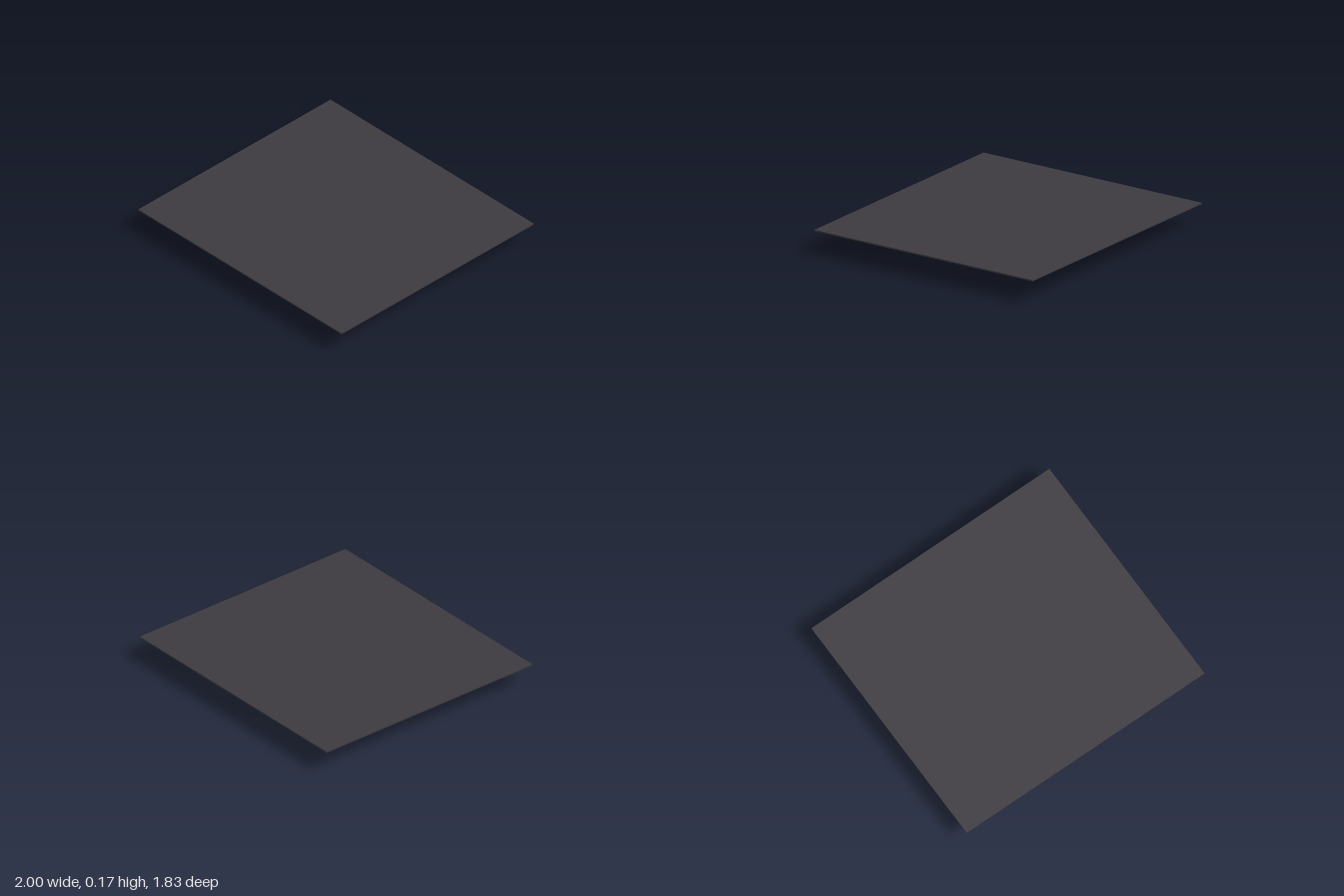
import * as THREE from 'three';

const mat = (name, color, side = THREE.FrontSide) => {
  const m = new THREE.MeshStandardMaterial({ color, side });
  m.name = name;
  return m;
};

export function createModel() {
  const root = new THREE.Group();
  const slab = mat('ceilingGrey', 0x3d3b40);
  const metal = mat('ductMetal', 0x63666d);
  const dark = mat('darkSteel', 0x2b2b2e);
  const trayMetal = mat('trayMetal', 0x4b4c52);
  const flat = 0.7; // height to width ratio of the oval ducts

  const group = (name) => {
    const g = new THREE.Group();
    g.name = name;
    root.add(g);
    return g;
  };
  const add = (parent, name, geo, material) => {
    const m = new THREE.Mesh(geo, material);
    m.name = name;
    parent.add(m);
    return m;
  };
  // box given by its limits
  const box = (parent, name, x0, x1, y0, y1, z0, z1, material) => {
    const m = add(parent, name, new THREE.BoxGeometry(x1 - x0, y1 - y0, z1 - z0), material);
    m.position.set((x0 + x1) / 2, (y0 + y1) / 2, (z0 + z1) / 2);
    return m;
  };
  // straight duct or collar along x or z, squashed to an oval
  const pipe = (parent, name, axis, center, length, r, k = flat, material = metal) => {
    const g = new THREE.CylinderGeometry(r, r, length, 24);
    if (axis === 'x') g.rotateZ(Math.PI / 2);
    if (axis === 'z') g.rotateX(Math.PI / 2);
    g.scale(1, k, 1);
    add(parent, name, g, material).position.set(...center);
  };
  // bent duct through points, squashed to an oval
  const bend = (parent, name, pts, r, k = flat) => {
    const path = new THREE.CatmullRomCurve3(pts.map(([x, y, z]) => new THREE.Vector3(x, y / k, z)));
    const g = new THREE.TubeGeometry(path, 24, r, 20);
    g.scale(1, k, 1);
    add(parent, name, g, metal);
  };

  // ceiling slab, beam and thin rail
  box(root, 'ceiling', -1, 1, 0.155, 0.165, -0.915, 0.915, slab);
  box(root, 'beam', -0.665, 0.66, 0.108, 0.155, 0.317, 0.347, slab);
  box(root, 'ceilingRail', -0.838, 0.65, 0.147, 0.155, 0.546, 0.553, dark);

  // cable tray with low side walls
  const tray = group('cableTray');
  box(tray, 'trayFloor', -0.6, 0.745, 0.119, 0.123, 0.17, 0.232, trayMetal);
  for (const z of [0.17, 0.23]) box(tray, 'trayWall', -0.6, 0.745, 0.123, 0.136, z, z + 0.002, trayMetal);

  // cross duct with collars and a small outlet below
  const cross = group('crossDuct');
  pipe(cross, 'crossPipe', 'x', [-0.28, 0.11, 0.46], 0.6, 0.025);
  for (const x of [-0.58, -0.435, -0.285, -0.137, 0.018]) pipe(cross, 'crossCollar', 'x', [x, 0.11, 0.46], 0.006, 0.0275);
  add(cross, 'outletCone', new THREE.CylinderGeometry(0.008, 0.018, 0.012, 20), dark).position.set(-0.21, 0.089, 0.46);

  // elbow and drop to the trunk
  const elbow = group('elbowDuct');
  bend(elbow, 'elbow', [[0.015, 0.11, 0.46], [0.04, 0.11, 0.456], [0.059, 0.11, 0.437], [0.065, 0.11, 0.41]], 0.025);
  bend(elbow, 'dropBend', [[0.065, 0.11, 0.415], [0.065, 0.107, 0.395], [0.065, 0.09, 0.36], [0.065, 0.087, 0.33]], 0.025);
  pipe(elbow, 'elbowCollar', 'z', [0.065, 0.11, 0.412], 0.006, 0.028);

  // long trunk with collars and spiral ribs
  const trunk = group('trunkDuct');
  pipe(trunk, 'trunkPipe', 'z', [0.065, 0.087, -0.155], 0.98, 0.025);
  for (const z of [0.335, 0.3, 0.255, 0.07, -0.06, -0.642]) pipe(trunk, 'trunkCollar', 'z', [0.065, 0.087, z], 0.007, 0.028);
  for (let z = -0.08; z > -0.635; z -= 0.02) pipe(trunk, 'trunkRib', 'z', [0.065, 0.087, z], 0.006, 0.0262);

  // side branch ending in a tee
  const branch = group('branchDuct');
  pipe(branch, 'branchPipe', 'x', [0.19, 0.087, 0], 0.22, 0.013, 1);
  for (const x of [0.098, 0.13, 0.195, 0.23]) pipe(branch, 'branchCollar', 'x', [x, 0.087, 0], 0.006, 0.0155, 1);
  pipe(branch, 'tee', 'z', [0.3, 0.087, 0], 0.09, 0.015, 1);

  // flexible legs with flared diffusers
  for (const s of [1, -1]) {
    const leg = group('flexibleLeg');
    const lift = s > 0 ? 0.007 : 0;
    const bow = s * 0.022;
    bend(leg, 'hose', [
      [0.3, 0.087, s * 0.04], [0.3 + bow * 0.5, 0.083, s * 0.055], [0.3 + bow, 0.055, s * 0.066],
      [0.3 + bow * 0.5, 0.032, s * 0.074], [0.3, 0.014 + lift, s * 0.079],
    ], 0.011, 1);
    pipe(leg, 'hoseCollar', 'z', [0.3, 0.087, s * 0.042], 0.006, 0.017, 1);
    const profile = [[0, 0.018], [0.012, 0.018], [0.013, 0.011], [0.023, 0.006], [0.023, 0.003], [0.01, 0.003], [0.008, 0], [0, 0]];
    const flare = new THREE.LatheGeometry(profile.map(([r, y]) => new THREE.Vector2(r, y)).reverse(), 24);
    add(leg, 'diffuser', flare, dark).position.set(0.3, lift, s * 0.079);
  }

  // hanger rods
  const rods = group('hangerRods');
  const rod = (x, z, y) => {
    const h = 0.155 - y;
    add(rods, 'rod', new THREE.CylinderGeometry(0.0015, 0.0015, h, 8), dark).position.set(x, y + h / 2, z);
  };
  for (const z of [0.3, 0.083, -0.465]) for (const x of [0.038, 0.092]) rod(x, z, 0.087);
  for (const x of [-0.435, -0.137]) rod(x, 0.46, 0.125);
  return root;
}
